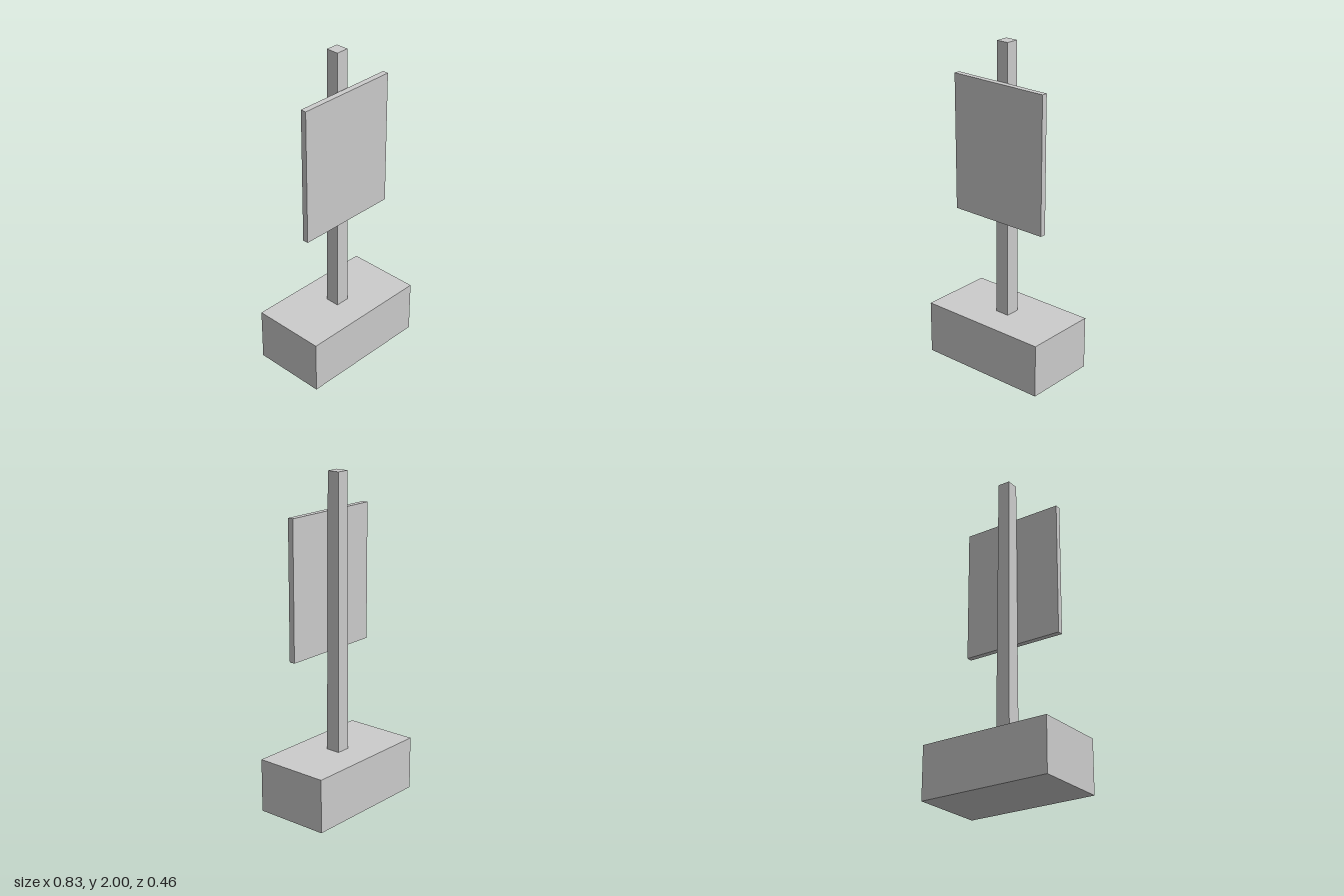
import * as THREE from 'three';

const material = new THREE.MeshStandardMaterial({ color: 0xcccccc, flatShading: true });

function addPart(group, name, geometry, y, z = 0) {
  const mesh = new THREE.Mesh(geometry, material);
  mesh.name = name;
  mesh.position.set(0, y, z);
  group.add(mesh);
}

// Square post, given by its half widths at the top and bottom
function taperedPost(top, bottom, height) {
  const geometry = new THREE.CylinderGeometry(top * Math.SQRT2, bottom * Math.SQRT2, height, 4);
  return geometry.rotateY(Math.PI / 4);
}

export function createModel() {
  const group = new THREE.Group();
  group.name = 'signpost';

  const baseHeight = 0.328;
  const postHeight = 2 - baseHeight;

  // Heavy block the post stands on
  addPart(group, 'base', new THREE.BoxGeometry(0.835, baseHeight, 0.463), baseHeight / 2);

  // Slightly tapering post
  addPart(group, 'post', taperedPost(0.039, 0.045, postHeight), baseHeight + postHeight / 2);

  // Thin blank board just in front of the post
  addPart(group, 'signBoard', new THREE.BoxGeometry(0.65, 0.834, 0.036), 1.353, 0.064);

  return group;
}
